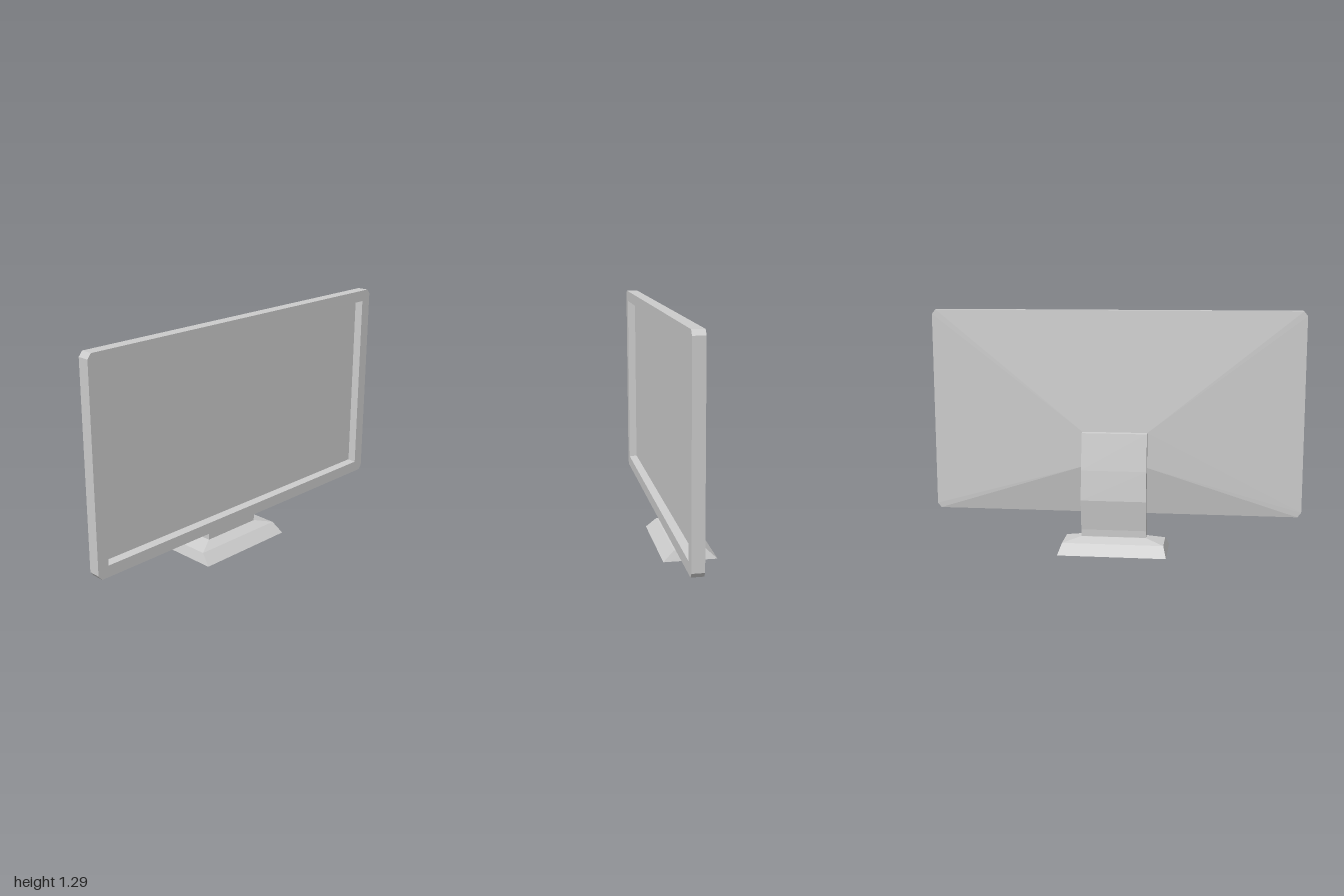
import * as THREE from 'three';

const material = new THREE.MeshStandardMaterial({ color: 0xcccccc, flatShading: true });

// Eight-point rectangle ring with cut corners, counter-clockwise seen from +z
function ring(hx, y0, y1, z, cx = 0, cy = 0) {
  return [
    [hx, y0 + cy], [hx, y1 - cy], [hx - cx, y1], [-hx + cx, y1],
    [-hx, y1 - cy], [-hx, y0 + cy], [-hx + cx, y0], [hx - cx, y0],
  ].map(([x, y]) => new THREE.Vector3(x, y, z));
}

// Joins rings with flat faces and caps the chosen ends
function loft(rings, capStart, capEnd) {
  const points = [];
  const tri = (a, b, c) => {
    const area = b.clone().sub(a).cross(c.clone().sub(a)).length();
    if (area > 1e-9) points.push(a, b, c);
  };
  for (let r = 0; r < rings.length - 1; r++) {
    const a = rings[r], b = rings[r + 1];
    for (let i = 0; i < 8; i++) {
      const j = (i + 1) % 8;
      tri(a[i], a[j], b[j]);
      tri(a[i], b[j], b[i]);
    }
  }
  const first = rings[0], last = rings[rings.length - 1];
  for (let i = 1; i < 7; i++) {
    if (capStart) tri(first[0], first[i + 1], first[i]);
    if (capEnd) tri(last[0], last[i], last[i + 1]);
  }
  const geometry = new THREE.BufferGeometry().setFromPoints(points);
  geometry.computeVertexNormals();
  return geometry;
}

export function createModel() {
  const model = new THREE.Group();
  model.name = 'monitor';
  const add = (name, geometry) => {
    const mesh = new THREE.Mesh(geometry, material);
    mesh.name = name;
    model.add(mesh);
    return mesh;
  };

  // Housing: sloped back, rim with cut corners, bezel and recess walls
  add('housing', loft([
    ring(0.175, 0.45, 0.64, 0.03),
    ring(1, 0.188, 1.286, 0.08, 0.02, 0.025),
    ring(1, 0.188, 1.286, 0.142, 0.02, 0.025),
    ring(0.938, 0.248, 1.226, 0.142),
    ring(0.931, 0.254, 1.22, 0.1),
  ], true, false));

  // Screen at the bottom of the recess
  const screen = add('screen', new THREE.PlaneGeometry(1.862, 0.966));
  screen.position.set(0, 0.737, 0.1);

  // Bent stand: side profile as (z, y), extruded across the width
  const profile = [
    [0.03, 0.64], [0.004, 0.637], [-0.03, 0.44], [-0.048, 0.28], [-0.027, 0.115], [-0.027, 0.076],
    [0.03, 0.076], [0.03, 0.12], [0.004, 0.28], [0.02, 0.45], [0.03, 0.45],
  ].map(([z, y]) => new THREE.Vector2(z, y));
  const stand = new THREE.ExtrudeGeometry(new THREE.Shape(profile), { depth: 0.35, bevelEnabled: false });
  stand.rotateY(-Math.PI / 2).translate(0.175, 0, 0);
  add('stand', stand);

  // Stepped sloping base, lofted along z and then turned upright
  const base = loft([
    ring(0.29, -0.143, 0.143, 0),
    ring(0.272, -0.085, 0.085, 0.053),
    ring(0.176, -0.03, 0.03, 0.078),
  ], true, true);
  base.rotateX(-Math.PI / 2);
  add('base', base);

  return model;
}
